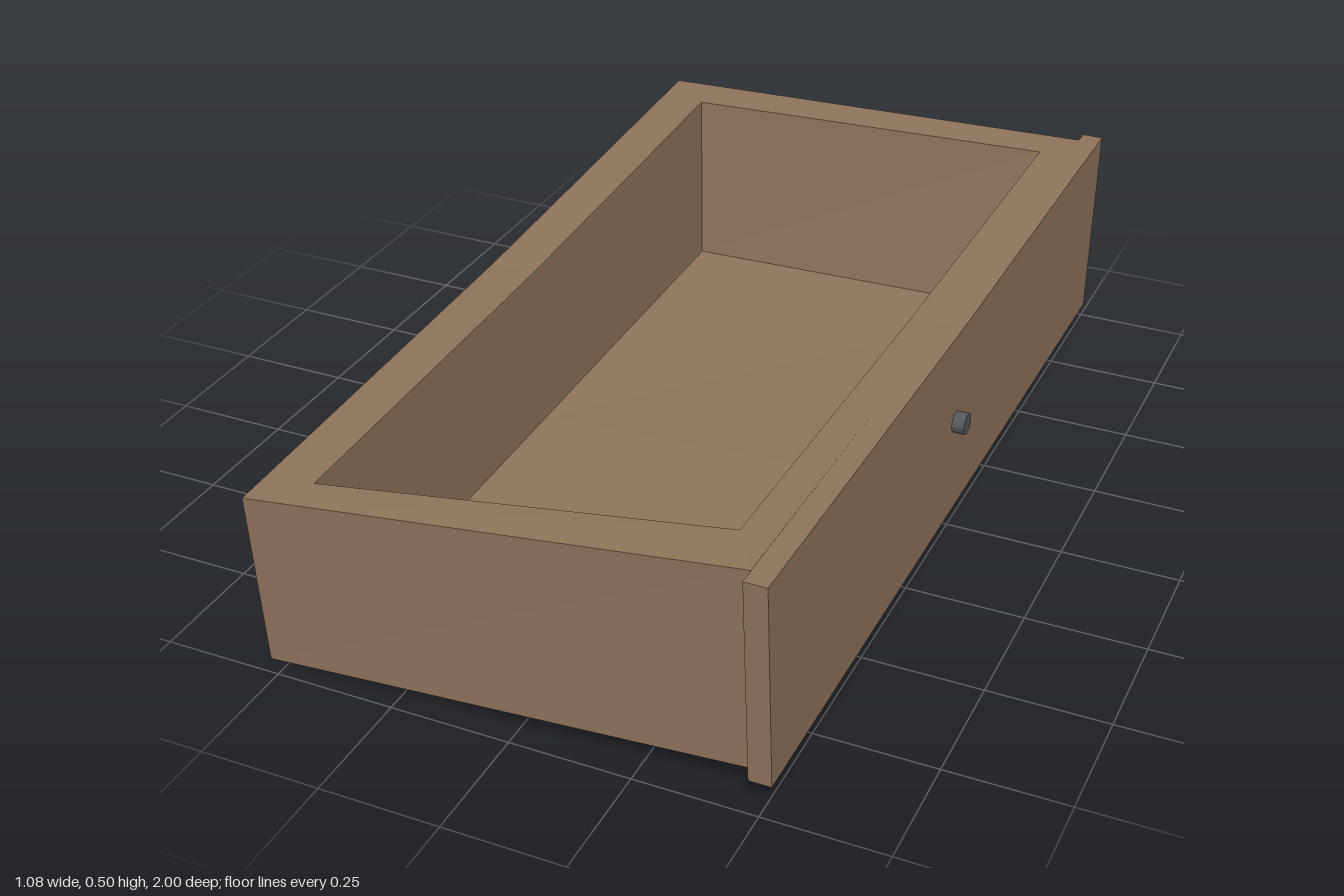
import * as THREE from 'three';

const WOOD = 0x92755c;
const METAL = 0x55595e;

// Ring of six points, counter-clockwise from above. Each corner is [x, y, z];
// the two middle points sit on the long sides, lowered by the given sags.
function ring(leftFront, rightFront, rightBack, leftBack, sagRight = 0, sagLeft = 0) {
  const mid = (a, b, sag) => [(a[0] + b[0]) / 2, (a[1] + b[1]) / 2 - sag, (a[2] + b[2]) / 2];
  return [
    leftFront, rightFront, mid(rightFront, rightBack, sagRight),
    rightBack, leftBack, mid(leftBack, leftFront, sagLeft),
  ];
}

// Joins successive rings with quads and closes both ends.
function loftRings(rings) {
  const positions = [];
  const quad = (a, b, c, d) => positions.push(...a, ...b, ...c, ...a, ...c, ...d);
  for (let r = 0; r < rings.length - 1; r++) {
    const a = rings[r], b = rings[r + 1];
    for (let i = 0; i < 6; i++) {
      const j = (i + 1) % 6;
      quad(a[i], a[j], b[j], b[i]);
    }
  }
  const s = rings[0], e = rings[rings.length - 1];
  quad(s[5], s[2], s[1], s[0]);
  quad(s[4], s[3], s[2], s[5]);
  quad(e[0], e[1], e[2], e[5]);
  quad(e[5], e[2], e[3], e[4]);
  const geometry = new THREE.BufferGeometry();
  geometry.setAttribute('position', new THREE.Float32BufferAttribute(positions, 3));
  geometry.computeVertexNormals();
  return geometry;
}

export function createModel() {
  const group = new THREE.Group();
  group.name = 'drawer';
  const wood = new THREE.MeshStandardMaterial({ color: WOOD, flatShading: true });
  const metal = new THREE.MeshStandardMaterial({ color: METAL, flatShading: true });

  const add = (name, geometry, material) => {
    const mesh = new THREE.Mesh(geometry, material);
    mesh.name = name;
    group.add(mesh);
    return mesh;
  };

  // Warped open box: underside, outer rim, inner rim, floor
  add('drawerBox', loftRings([
    ring([-0.54, 0, 0.965], [0.467, 0.05, 0.94], [0.467, 0.05, -0.935], [-0.54, 0.045, -0.88]),
    ring([-0.54, 0.386, 0.99], [0.467, 0.497, 0.965], [0.467, 0.475, -0.968], [-0.54, 0.475, -0.91], 0.01, 0.012),
    ring([-0.433, 0.4, 0.912], [0.402, 0.497, 0.863], [0.402, 0.475, -0.867], [-0.433, 0.475, -0.81], 0.01, 0.012),
    ring([-0.433, 0.03, 0.86], [0.402, 0.07, 0.835], [0.402, 0.07, -0.838], [-0.433, 0.07, -0.808]),
  ]), wood);

  // Face board, slightly wider than the box
  add('facePanel', loftRings([
    ring([0.467, 0.05, 0.973], [0.513, 0.05, 0.973], [0.513, 0.05, -0.963], [0.467, 0.05, -0.963]),
    ring([0.467, 0.497, 1], [0.513, 0.497, 1], [0.513, 0.476, -1], [0.467, 0.476, -1], 0.01, 0.01),
  ]), wood);

  // Small round knob
  const knob = add('knob', new THREE.CylinderGeometry(0.023, 0.023, 0.04, 12), metal);
  knob.rotation.z = -Math.PI / 2;
  knob.position.set(0.519, 0.27, 0.022);

  return group;
}
